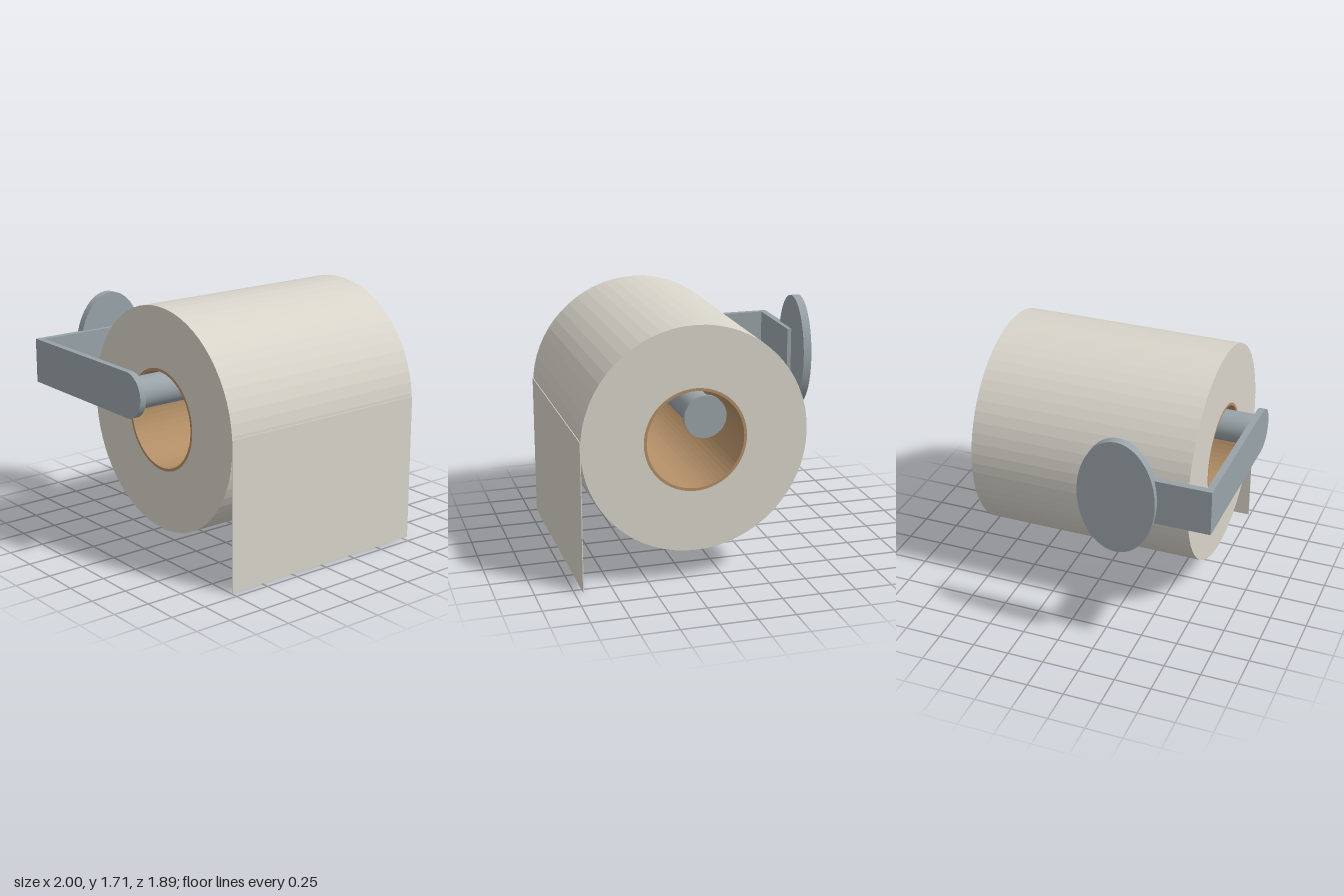
import * as THREE from 'three';

const paper = new THREE.MeshStandardMaterial({ color: 0xd8d4ca });
paper.name = 'paper';
const cardboard = new THREE.MeshStandardMaterial({ color: 0xb28e66 });
cardboard.name = 'cardboard';
const metal = new THREE.MeshStandardMaterial({ color: 0x99a3a8 });
metal.name = 'metal';

const X0 = -0.738, X1 = 0.797;       // ends of the roll
const ROLL_Y = 0.957, ROLL_Z = 0.19; // axis of the roll
const ROD_Y = 1.172;                 // axis of the holder rod

export function createModel() {
  const group = new THREE.Group();
  group.name = 'toiletRollHolder';

  const add = (name, geometry, material, x, y, z) => {
    const mesh = new THREE.Mesh(geometry, material);
    mesh.name = name;
    mesh.position.set(x, y, z);
    group.add(mesh);
    return mesh;
  };

  // Shape drawn in (z, y), extruded along x and ending at x = 0
  const extrudeX = (shape, depth, curveSegments = 32) =>
    new THREE.ExtrudeGeometry(shape, { depth, bevelEnabled: false, curveSegments }).rotateY(-Math.PI / 2);

  const ring = (outer, inner) => {
    const shape = new THREE.Shape().absarc(0, 0, outer, 0, Math.PI * 2);
    shape.holes.push(new THREE.Path().absarc(0, 0, inner, 0, Math.PI * 2, true));
    return shape;
  };

  // Cylinder lying along x between two ends
  const rodX = (name, radius, x0, x1) =>
    add(name, new THREE.CylinderGeometry(radius, radius, x1 - x0, 48).rotateZ(Math.PI / 2),
      metal, (x0 + x1) / 2, ROD_Y, ROLL_Z);

  // Paper roll, core and hanging sheet
  add('paperRoll', extrudeX(ring(0.752, 0.343), X1 - X0), paper, X1, ROLL_Y, ROLL_Z);
  add('cardboardCore', extrudeX(ring(0.343, 0.324), X1 - X0), cardboard, X1, ROLL_Y, ROLL_Z);
  add('hangingSheet', new THREE.BoxGeometry(X1 - X0, 1.01, 0.006), paper, (X0 + X1) / 2, 0.505, 0.942);

  // Rod with end cap
  rodX('rod', 0.106, -0.96, 0.98);
  rodX('rodEndCap', 0.137, 0.976, 1);

  // Side arm with a rounded front end
  const h = 0.153;
  const arm = new THREE.Shape();
  arm.moveTo(-0.905, -h);
  arm.lineTo(ROLL_Z, -h);
  arm.absarc(ROLL_Z, 0, h, -Math.PI / 2, Math.PI / 2);
  arm.lineTo(-0.905, h);
  arm.closePath();
  add('sideArm', extrudeX(arm, 0.044), metal, -0.956, ROD_Y, 0);

  // Back bar and oval wall plate
  add('backBar', new THREE.BoxGeometry(0.568, h * 2, 0.045), metal, -0.672, ROD_Y, -0.8825);
  const plate = new THREE.CylinderGeometry(1, 1, 0.058, 64).rotateX(Math.PI / 2).scale(0.26, 0.399, 1);
  add('wallPlate', plate, metal, -0.388, ROD_Y, -0.918);

  return group;
}
